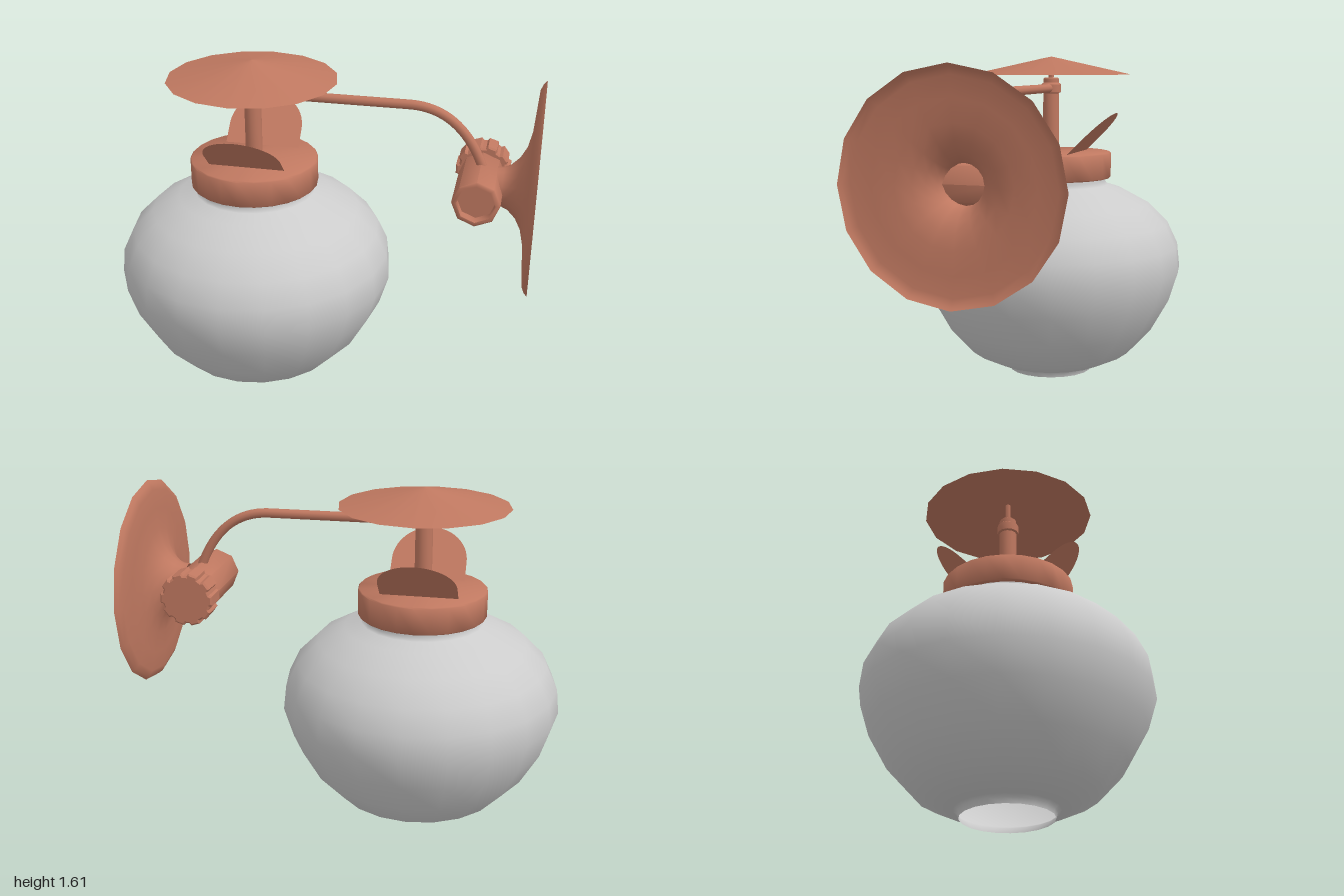
import * as THREE from 'three';
import { toCreasedNormals } from 'three/addons/utils/BufferGeometryUtils.js';

const copper = new THREE.MeshStandardMaterial({ color: 0xbf7860, side: THREE.DoubleSide });
const glass = new THREE.MeshStandardMaterial({ color: 0xcccccc, side: THREE.DoubleSide });

const LAMP_X = -0.335;               // axis of the globe
const WALL_X = 0.74, WALL_Y = 1.085; // centre of the valve body

function part(name, geometry, material = copper) {
  const mesh = new THREE.Mesh(geometry, material);
  mesh.name = name;
  return mesh;
}

// Lathe from [radius, height] pairs; crease keeps hard edges sharp
function turned(pairs, sides, crease) {
  const g = new THREE.LatheGeometry(pairs.map(([r, y]) => new THREE.Vector2(r, y)), sides);
  return crease ? toCreasedNormals(g, crease) : g;
}

export function createModel() {
  const model = new THREE.Group();
  model.name = 'wallLamp';

  // Lamp head, turned about its own vertical axis
  const head = new THREE.Group();
  head.name = 'lampHead';
  head.position.x = LAMP_X;
  model.add(head);

  head.add(part('globe', turned([
    [0.21, 0], [0.217, 0.025], [0.235, 0.036], [0.285, 0.045], [0.41, 0.105],
    [0.53, 0.235], [0.62, 0.395], [0.665, 0.54], [0.652, 0.66], [0.60, 0.77],
    [0.50, 0.87], [0.37, 0.94], [0.29, 0.965], [0.275, 0.985], [0.275, 1.06],
  ], 20), glass));

  head.add(part('collar', turned([
    [0, 1.1], [0.285, 1.1], [0.285, 1.0], [0.3, 1.0], [0.305, 1.005],
    [0.305, 1.125], [0.3, 1.13], [0, 1.13],
  ], 24, 0.9)));

  head.add(part('post', turned([
    [0, 1.12], [0.041, 1.12], [0.041, 1.425], [0.05, 1.43], [0.05, 1.47],
    [0.04, 1.478], [0.04, 1.498], [0.034, 1.503], [0.013, 1.503], [0.013, 1.59],
  ], 12, 0.6)));

  head.add(part('canopy', turned([
    [0.4, 1.52], [0.07, 1.593], [0.045, 1.599], [0, 1.608],
  ], 16)));

  // Two rounded reflector tabs leaning outwards at the front and back
  const tabShape = new THREE.Shape();
  tabShape.moveTo(-0.182, 0).lineTo(0.182, 0).lineTo(0.182, 0.1);
  tabShape.absarc(0, 0.1, 0.182, 0, Math.PI, false);
  tabShape.lineTo(-0.182, 0);
  const tabGeometry = new THREE.ShapeGeometry(tabShape, 14);
  tabGeometry.rotateX(Math.PI / 4).translate(0, 1.13, 0.14);
  for (const [i, name] of ['frontTab', 'backTab'].entries()) {
    const tab = part(name, tabGeometry);
    tab.rotation.y = i * Math.PI;
    head.add(tab);
  }

  // Arm: straight run, then a sweep down into the valve body
  const arm = new THREE.CurvePath();
  const v = (x, y) => new THREE.Vector3(x, y, 0);
  arm.add(new THREE.LineCurve3(v(LAMP_X, 1.45), v(0.4, 1.45)));
  arm.add(new THREE.CubicBezierCurve3(v(0.4, 1.45), v(0.58, 1.45), v(0.69, 1.33), v(0.755, 1.15)));
  model.add(part('arm', new THREE.TubeGeometry(arm, 48, 0.022, 10)));

  // Trumpet-shaped wall plate, open in the middle
  const plate = part('wallPlate', turned([
    [0.09, 0.815], [0.092, 0.845], [0.105, 0.875], [0.14, 0.912], [0.19, 0.94],
    [0.26, 0.957], [0.36, 0.965], [0.45, 0.972], [0.48, 0.985], [0.495, 1.0],
  ], 16));
  plate.rotation.z = -Math.PI / 2;
  plate.position.y = WALL_Y;
  model.add(plate);

  // Valve body along z with a hollow front end
  const valve = new THREE.Group();
  valve.name = 'valve';
  valve.position.set(WALL_X, WALL_Y, 0);
  model.add(valve);

  const body = part('valveBody', turned([
    [0, -0.13], [0.102, -0.13], [0.109, -0.123], [0.109, 0.215], [0.102, 0.222],
    [0.088, 0.222], [0.088, 0.17], [0, 0.17],
  ], 8, 0.85));
  body.rotation.x = Math.PI / 2;
  valve.add(body);

  const stem = part('valveStem', new THREE.CylinderGeometry(0.06, 0.06, 0.06, 12));
  stem.rotation.x = Math.PI / 2;
  stem.position.z = -0.14;
  valve.add(stem);

  // Fluted knob behind the valve body
  const lobes = 10, outline = [];
  for (let i = 0; i < lobes; i++) {
    for (const [t, r] of [[-0.32, 0.108], [-0.22, 0.12], [0.22, 0.12], [0.32, 0.108]]) {
      const a = (i + t) * 2 * Math.PI / lobes;
      outline.push(new THREE.Vector2(Math.cos(a) * r, Math.sin(a) * r));
    }
  }
  const knob = new THREE.ExtrudeGeometry(new THREE.Shape(outline), {
    depth: 0.104, bevelEnabled: true, bevelSize: 0.008, bevelThickness: 0.008, bevelSegments: 1,
  });
  knob.translate(0, 0, -0.262);
  valve.add(part('knob', knob));

  return model;
}
